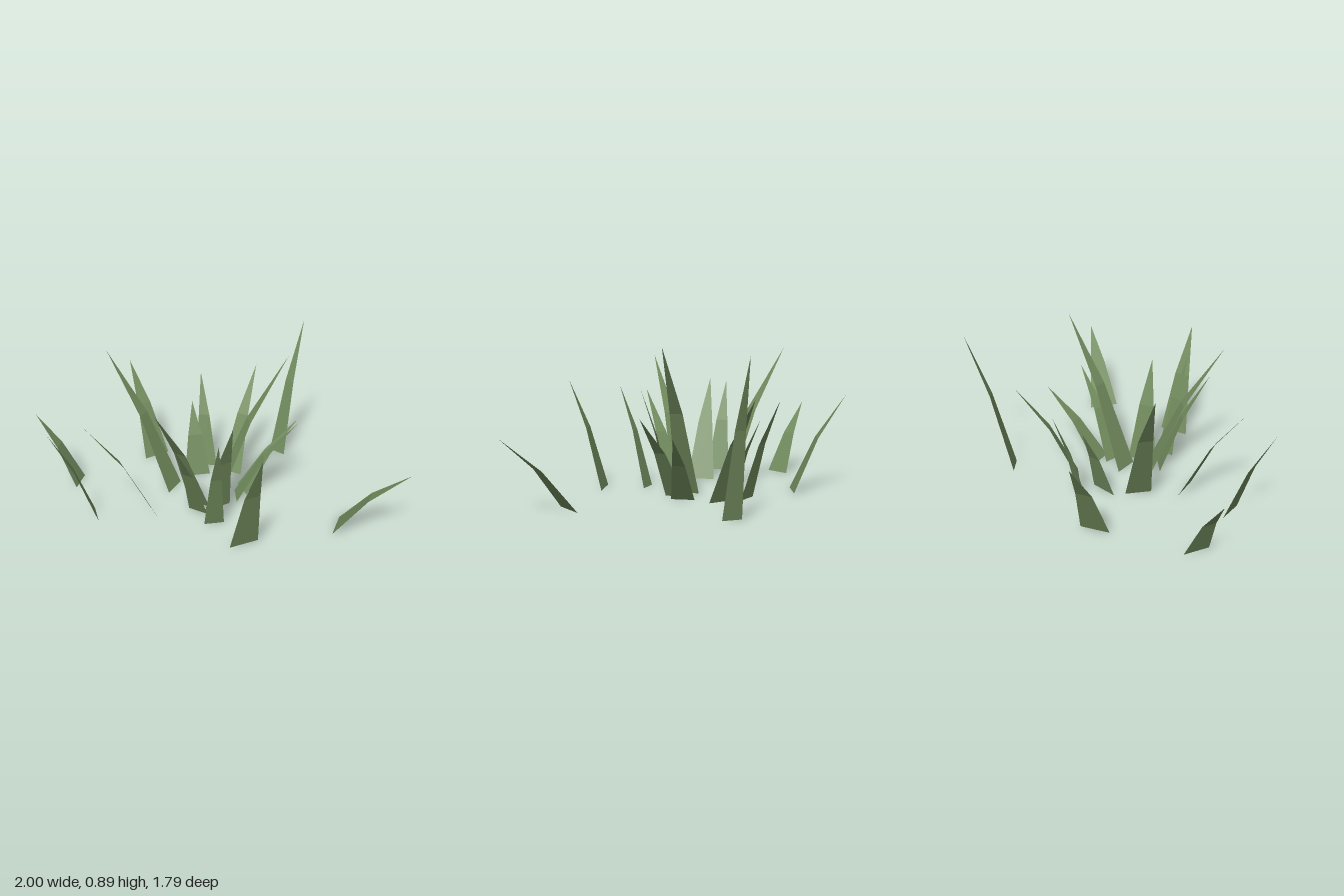
import * as THREE from 'three';

// One blade per row: base corner (x, z), base corner (x, z), tip (x, y, z)
const BLADES = [
  [-0.25, -0.65, -0.14, -0.67, -0.23, 0.87, -0.9],
  [-0.27, -0.23, -0.14, -0.28, -0.33, 0.62, -0.58],
  [-0.42, -0.15, -0.33, -0.24, -0.54, 0.58, -0.29],
  [-0.36, 0, -0.28, -0.14, -0.46, 0.45, -0.15],
  [-0.27, 0.2, -0.33, 0.06, -0.71, 0.84, 0.3],
  [-0.7, 0.06, -0.68, -0.11, -1, 0.58, -0.06],
  [-0.7, 0.6, -0.79, 0.48, -0.95, 0.45, 0.69],
  [-0.3, 0.7, -0.43, 0.64, -0.46, 0.58, 0.89],
  [-0.12, 0.41, -0.28, 0.36, -0.32, 0.62, 0.73],
  [0.01, 0.11, -0.12, 0.16, 0.08, 0.79, 0.54],
  [0.06, 0.17, -0.06, 0.21, 0.14, 0.58, 0.46],
  [0.06, -0.01, 0.03, 0.16, 0.21, 0.61, 0.1],
  [0.19, 0.15, 0.13, 0.25, 0.32, 0.62, 0.3],
  [0.45, 0.12, 0.4, 0.29, 0.63, 0.66, 0.27],
  [0.6, -0.4, 0.69, -0.24, 1, 0.43, -0.5],
  [-0.03, -0.13, 0.08, -0.05, 0.26, 0.5, -0.36],
  [-0.07, -0.19, 0.06, -0.15, 0.1, 0.41, -0.53],
  [-0.12, -0.03, 0.01, 0.03, 0.14, 0.89, -0.39],
];

// Flat blade that bends outward once, a little above half its height
function bladeGeometry([ax, az, bx, bz, tx, ty, tz]) {
  const a = new THREE.Vector3(ax, 0, az);
  const b = new THREE.Vector3(bx, 0, bz);
  const tip = new THREE.Vector3(tx, ty, tz);
  const bend = (p) => p.clone().lerp(tip, 0.46).setY(ty * 0.56);
  const c = bend(a), d = bend(b);
  const geometry = new THREE.BufferGeometry().setFromPoints([a, b, d, a, d, c, c, d, tip]);
  geometry.computeVertexNormals();
  return geometry;
}

export function createModel() {
  const model = new THREE.Group();
  model.name = 'grassTuft';
  const green = new THREE.MeshStandardMaterial({ color: 0x728c5e, side: THREE.DoubleSide, flatShading: true });
  green.name = 'grassGreen';

  BLADES.forEach((row, i) => {
    const blade = new THREE.Mesh(bladeGeometry(row), green);
    blade.name = `grassBlade${i + 1}`;
    model.add(blade);
  });
  return model;
}
